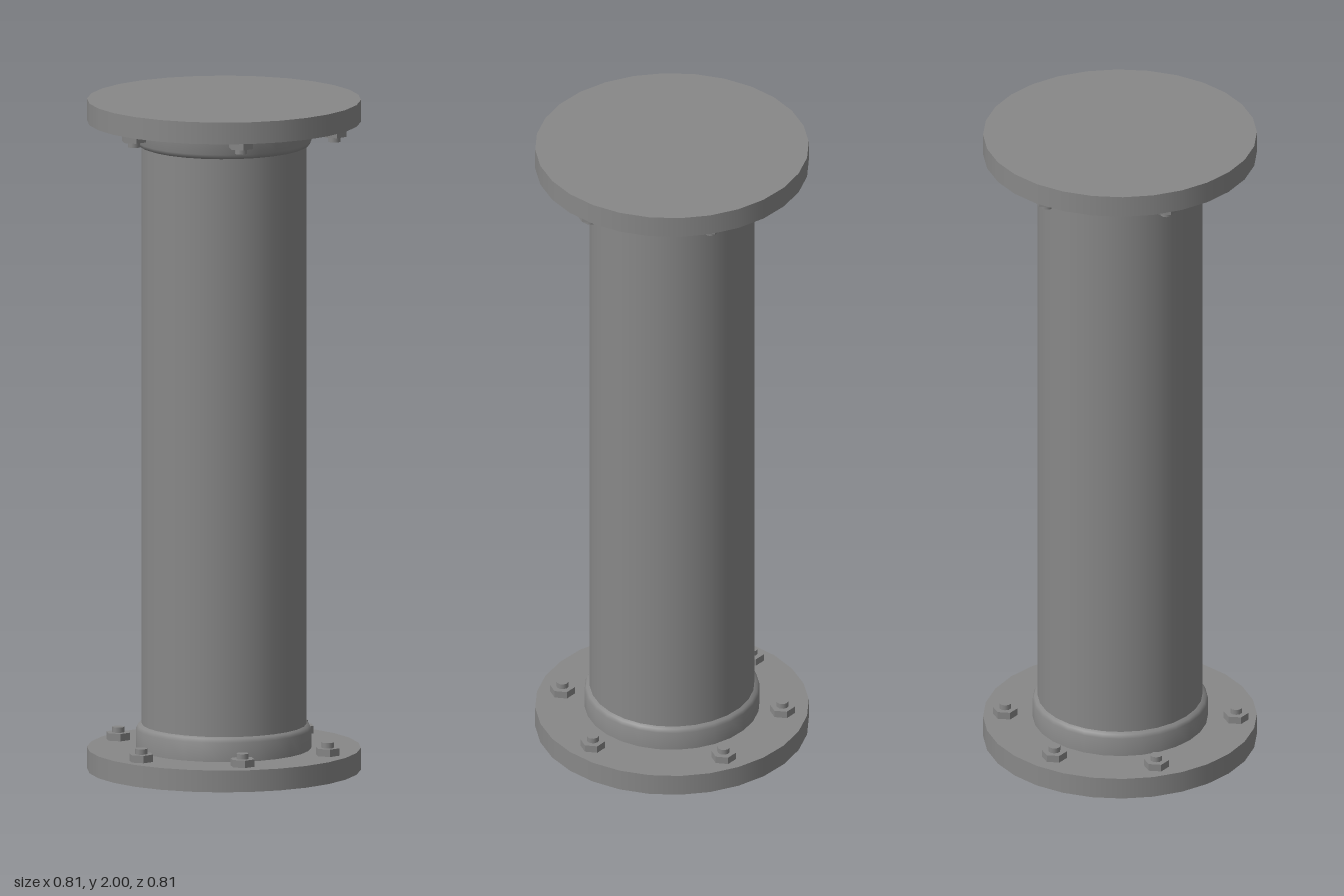
import * as THREE from 'three';
import { toCreasedNormals } from 'three/addons/utils/BufferGeometryUtils.js';

const SIDES = 28;
const material = new THREE.MeshStandardMaterial({ color: 0x888888 });

function addMesh(parent, name, geometry, x, y, z) {
  const mesh = new THREE.Mesh(geometry, material);
  mesh.name = name;
  mesh.position.set(x, y, z);
  parent.add(mesh);
  return mesh;
}

// One pipe end: flange disc, chamfered collar and bolts, built upwards from y = 0
function createEnd(name, boltSpots) {
  const end = new THREE.Group();
  end.name = name;

  const disc = new THREE.CylinderGeometry(0.403, 0.403, 0.065, SIDES);
  disc.rotateY(Math.PI / 2);
  addMesh(end, 'flange', disc, 0, 0.0325, 0);

  const profile = [[0.258, 0.06], [0.258, 0.122], [0.253, 0.133], [0.238, 0.139]]
    .map(([r, y]) => new THREE.Vector2(r, y));
  const collar = toCreasedNormals(new THREE.LatheGeometry(profile, SIDES), 0.9);
  addMesh(end, 'collar', collar, -0.001, 0, 0);

  // Hexagonal nuts, each on a short stud
  const nut = toCreasedNormals(new THREE.CylinderGeometry(0.037, 0.037, 0.022, 6), 0.5);
  const stud = new THREE.CylinderGeometry(0.018, 0.018, 0.045, 10);
  for (const [x, z] of boltSpots) {
    const bolt = new THREE.Group();
    bolt.name = 'bolt';
    bolt.position.set(x, 0.06, z);
    addMesh(bolt, 'nut', nut, 0, 0.016, 0);
    addMesh(bolt, 'stud', stud, 0, 0.0205, 0);
    end.add(bolt);
  }
  return end;
}

export function createModel() {
  const model = new THREE.Group();
  model.name = 'flangedPipe';

  // Long straight tube between the two flanges
  const tube = new THREE.CylinderGeometry(0.243, 0.243, 1.9, SIDES, 1, true);
  addMesh(model, 'pipe', tube, 0, 1, 0);

  const bottom = createEnd('bottomEnd', [
    [-0.008, 0.328], [0.274, 0.19], [0.272, -0.2],
    [-0.008, -0.328], [-0.28, -0.19], [-0.285, 0.19],
  ]);
  model.add(bottom);

  // The top end is turned over about x, so its z positions are negated
  const topSpots = [
    [-0.016, 0.346], [0.293, 0.195], [0.295, -0.165],
    [0.008, -0.344], [-0.3, -0.168], [-0.304, 0.175],
  ];
  const top = createEnd('topEnd', topSpots.map(([x, z]) => [x, -z]));
  top.rotation.x = Math.PI;
  top.position.y = 2;
  model.add(top);

  return model;
}
